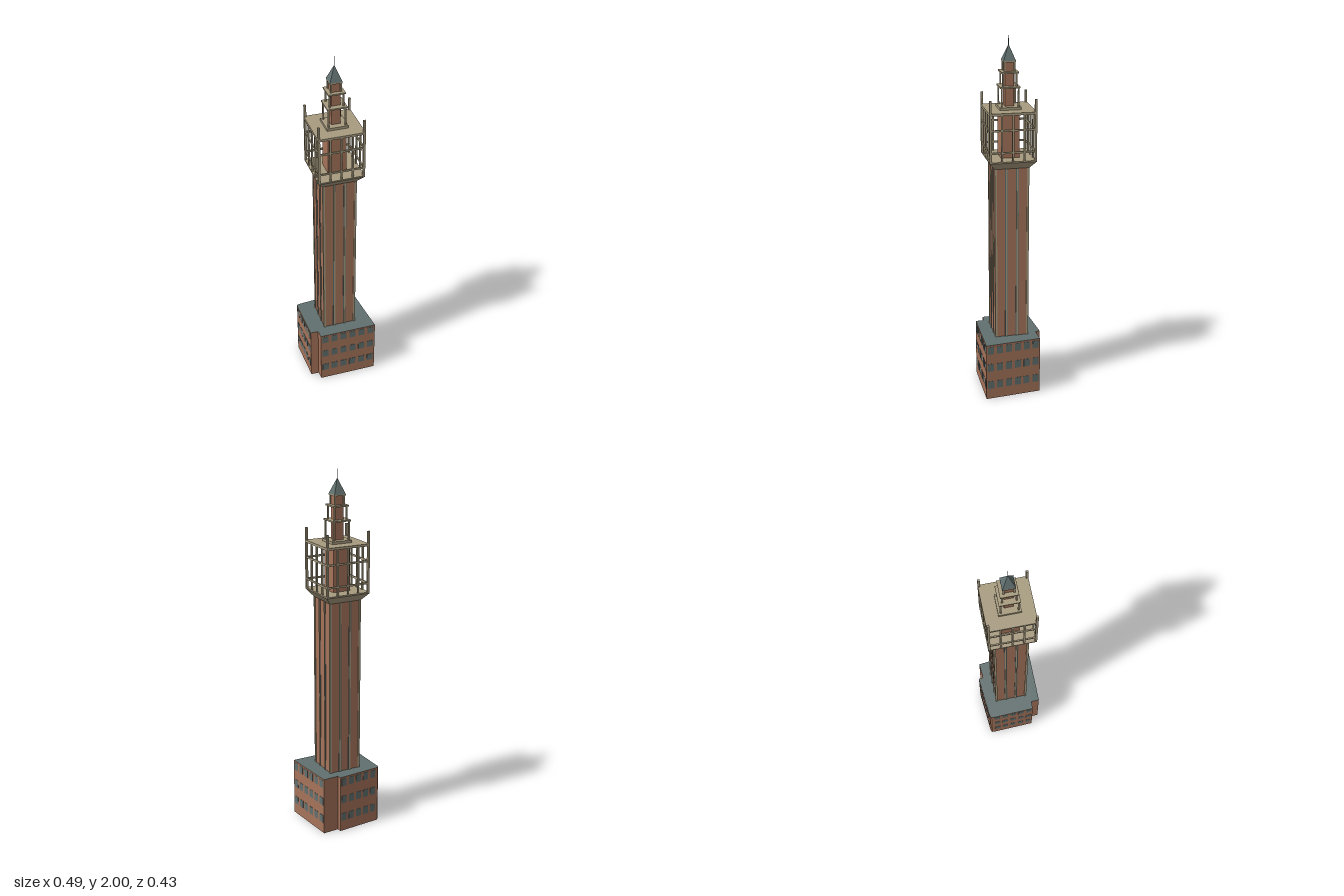
import * as THREE from 'three';

const brick = new THREE.MeshStandardMaterial({ name: 'brick', color: 0xa5735a, flatShading: true });
const stone = new THREE.MeshStandardMaterial({ name: 'stone', color: 0xa89c80, flatShading: true });
const slate = new THREE.MeshStandardMaterial({ name: 'slate', color: 0x61706f, flatShading: true });
const brickWall = brick.clone();
const slateRoof = slate.clone();
brickWall.side = slateRoof.side = THREE.DoubleSide;

function add(parent, name, geometry, material, x = 0, y = 0, z = 0) {
  const mesh = new THREE.Mesh(geometry, material);
  mesh.name = name;
  mesh.position.set(x, y, z);
  parent.add(mesh);
  return mesh;
}

// Box standing between two heights
const block = (parent, name, mat, w, d, y0, y1, x = 0, z = 0) =>
  add(parent, name, new THREE.BoxGeometry(w, y1 - y0, d), mat, x, (y0 + y1) / 2, z);

// Four-sided frustum given by half widths
function frustum(parent, name, mat, hBottom, hTop, y0, y1) {
  const g = new THREE.CylinderGeometry(hTop * Math.SQRT2, hBottom * Math.SQRT2, y1 - y0, 4);
  g.rotateY(Math.PI / 4);
  return add(parent, name, g, mat, 0, (y0 + y1) / 2, 0);
}

// Posts at the four corners of a square
function cornerPosts(parent, name, mat, h, w, y0, y1) {
  for (const sx of [-1, 1]) for (const sz of [-1, 1]) block(parent, name, mat, w, w, y0, y1, sx * h, sz * h);
}

// Calls build with a group facing each of the four sides (outwards is +z)
function eachSide(parent, name, build) {
  for (let i = 0; i < 4; i++) {
    const side = new THREE.Group();
    side.name = name;
    side.rotation.y = i * Math.PI / 2;
    build(side);
    parent.add(side);
  }
}

// Base building: open-bottomed walls, flat roof and window rows
function makeBase() {
  const base = new THREE.Group();
  base.name = 'baseBuilding';
  const H = 0.33;
  const plan = [
    [0.025, -0.216], [0.243, 0.011], [-0.017, 0.212], [-0.047, 0.177], [-0.083, 0.203],
    [-0.24, 0.015], [-0.246, 0.006], [-0.245, -0.004], [-0.238, -0.012], [-0.06, -0.175], [-0.042, -0.157],
  ];
  plan.forEach(([x0, z0], i) => {
    const [x1, z1] = plan[(i + 1) % plan.length];
    const length = Math.hypot(x1 - x0, z1 - z0);
    const wall = new THREE.Group();
    wall.name = 'wall';
    wall.position.set((x0 + x1) / 2, 0, (z0 + z1) / 2);
    wall.rotation.y = Math.atan2(z1 - z0, -(x1 - x0));
    add(wall, 'wallPanel', new THREE.PlaneGeometry(length, H), brickWall, 0, H / 2, 0);
    const count = length > 0.1 ? Math.round(length / 0.053) : 0;
    const pitch = length / count;
    for (const y of [0.085, 0.192, 0.298]) {
      for (let k = 0; k < count; k++) {
        add(wall, 'window', new THREE.BoxGeometry(pitch * 0.68, 0.045, 0.003), slate, (k + 0.5) * pitch - length / 2, y, 0);
      }
    }
    base.add(wall);
  });
  const roof = new THREE.ShapeGeometry(new THREE.Shape(plan.map(([x, z]) => new THREE.Vector2(x, -z))));
  roof.rotateX(-Math.PI / 2);
  add(base, 'baseRoof', roof, slateRoof, 0, H, 0);
  return base;
}

// Brick shaft with vertical ribs
function makeShaft(tower) {
  const h = 0.09, y0 = 0.33, y1 = 1.31;
  block(tower, 'shaft', brick, 2 * h, 2 * h, y0, y1);
  cornerPosts(tower, 'cornerRib', stone, h - 0.002, 0.012, y0, y1);
  eachSide(tower, 'shaftSide', (side) => {
    for (const x of [-h / 3, h / 3]) {
      block(side, 'slateStrip', slate, 0.015, 0.004, y0, y1, x, h);
      block(side, 'rib', stone, 0.008, 0.01, y0, y1, x, h);
    }
  });
}

// Open gallery with a lattice on each side
function makeGallery(tower) {
  const h = 0.127, edge = h - 0.006;
  frustum(tower, 'flare', stone, 0.094, h, 1.31, 1.35);
  block(tower, 'galleryFloor', stone, 2 * h, 2 * h, 1.35, 1.357);
  block(tower, 'galleryCore', brick, 0.1, 0.1, 1.355, 1.606);
  block(tower, 'galleryRoof', stone, 2 * h, 2 * h, 1.605, 1.618);
  cornerPosts(tower, 'cornerPost', stone, edge, 0.012, 1.355, 1.685);
  eachSide(tower, 'gallerySide', (side) => {
    for (const x of [-edge / 2, 0, edge / 2]) block(side, 'mullion', stone, 0.009, 0.009, 1.355, 1.606, x, edge);
    for (const y of [1.405, 1.525]) block(side, 'rail', stone, 2 * edge, 0.007, y - 0.005, y + 0.005, 0, edge);
  });
}

// Stepped lantern, pointed roof and mast
function makeLantern(tower) {
  block(tower, 'lanternCore', brick, 0.048, 0.048, 1.618, 1.872);
  block(tower, 'lanternPlinth', stone, 0.116, 0.116, 1.618, 1.632);
  const tiers = [
    [0.045, 0.054, 1.63, 1.735],
    [0.036, 0.046, 1.735, 1.812],
    [0.026, 0.033, 1.812, 1.868],
  ];
  for (const [hPost, hSlab, y0, y1] of tiers) {
    cornerPosts(tower, 'lanternPost', stone, hPost, 0.008, y0, y1);
    block(tower, 'lanternSlab', stone, 2 * hSlab, 2 * hSlab, y1 - 0.004, y1 + 0.004);
  }
  frustum(tower, 'spireRoof', slate, 0.033, 0.0005, 1.872, 1.953);
  add(tower, 'mast', new THREE.CylinderGeometry(0.0015, 0.002, 0.055, 6), slate, 0, 1.9725, 0);
}

export function createModel() {
  const model = new THREE.Group();
  model.name = 'tower';
  model.add(makeBase());
  const tower = new THREE.Group();
  tower.name = 'towerShaftAndTop';
  tower.position.set(-0.011, 0, -0.001);
  tower.rotation.y = 0.661;
  makeShaft(tower);
  makeGallery(tower);
  makeLantern(tower);
  model.add(tower);
  return model;
}
